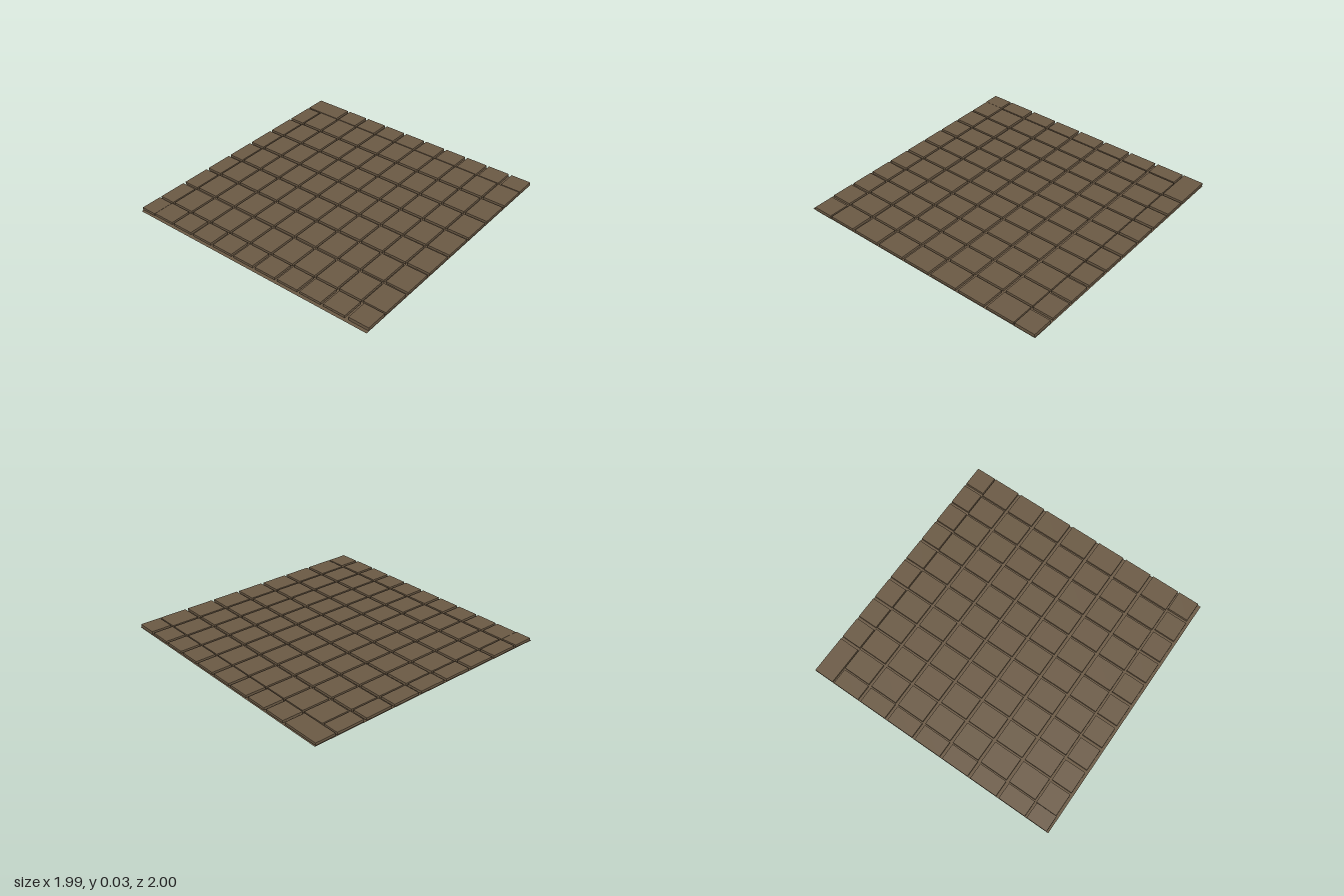
import * as THREE from 'three';

// Tiled stone floor: thin ground sheet carrying a grid of separate slabs.
export function createModel() {
  const group = new THREE.Group();
  group.name = 'tiledFloor';
  const stone = new THREE.MeshStandardMaterial({ color: 0x6a5944, side: THREE.DoubleSide });
  stone.name = 'brownStone';

  const TOP = 0.028, BOTTOM = 0.01;

  // One slab between the given x and z limits
  function tile(name, x0, x1, z0, z1, bottom = BOTTOM) {
    const mesh = new THREE.Mesh(new THREE.BoxGeometry(x1 - x0, TOP - bottom, z1 - z0), stone);
    mesh.position.set((x0 + x1) / 2, (TOP + bottom) / 2, (z0 + z1) / 2);
    mesh.name = name;
    group.add(mesh);
  }

  // Ground sheet under the slabs
  const sheet = new THREE.Mesh(new THREE.PlaneGeometry(1.99, 2), stone);
  sheet.rotation.x = -Math.PI / 2;
  sheet.position.y = 0.004;
  sheet.name = 'groundSheet';
  group.add(sheet);

  // Seven full rows, each with a narrow cut slab at the -x end
  for (let r = 0; r < 7; r++) {
    const z = -0.725 + r * 0.237;
    tile('cutSideTile', -0.995, -0.873, z - 0.102, z + 0.112);
    for (let c = 0; c < 10; c++) {
      const x = -0.776 + c * 0.187;
      tile('fieldTile', x - 0.086, x + 0.086, z - 0.107, z + 0.107);
    }
  }

  // Shallow cut rows along the back and the front
  for (const [name, z0, z1] of [['backTile', -0.995, -0.84], ['frontTile', 0.82, 0.98]]) {
    for (let c = 0; c < 8; c++) {
      const x = -0.6 + c * 0.19;
      tile(name, x - 0.084, x + 0.084, z0, z1);
    }
  }

  // Corner slabs; the +x pair sits deeper
  tile('backRightCornerTile', -0.995, -0.705, -0.995, -0.84);
  tile('frontRightCornerTile', -0.995, -0.873, 0.825, 0.985);
  tile('frontRightTile', -0.871, -0.7, 0.82, 0.98);
  tile('backLeftCornerTile', 0.838, 0.993, -0.995, -0.84, 0);
  tile('frontLeftCornerTile', 0.838, 0.993, 0.815, 0.975, 0);

  return group;
}
